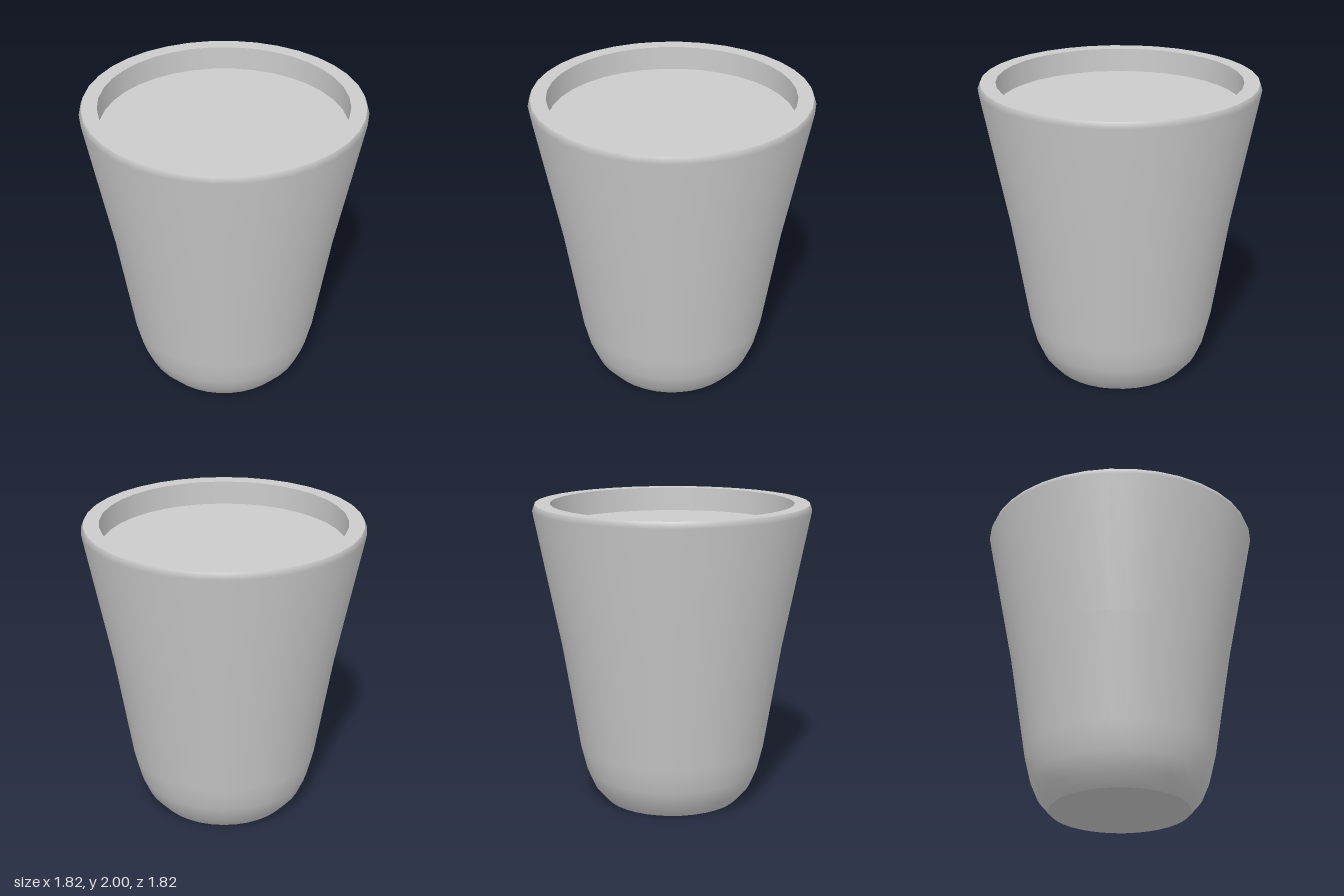
import * as THREE from 'three';

const SIDES = 36;

export function createModel() {
  const group = new THREE.Group();
  group.name = 'plantPot';
  const material = new THREE.MeshStandardMaterial({ color: 0xcccccc });

  // Each lathe is smooth in itself; separate lathes meet in a sharp edge
  const turn = (name, profile) => {
    const points = profile.map(([r, y]) => new THREE.Vector2(r, y));
    const mesh = new THREE.Mesh(new THREE.LatheGeometry(points, SIDES), material);
    mesh.name = name;
    group.add(mesh);
  };

  // Flat underside
  turn('base', [[0, 0], [0.455, 0]]);
  // Rounded foot, flaring wall and small bevel under the rim
  turn('outerWall', [
    [0.455, 0], [0.53, 0.085], [0.58, 0.2], [0.622, 0.37],
    [0.735, 1.07], [0.91, 1.96], [0.895, 2],
  ]);
  // Flat top ring
  turn('rim', [[0.895, 2], [0.795, 2]]);
  // Short inner wall down to the filling
  turn('innerWall', [[0.795, 2], [0.795, 1.84]]);
  // Level surface inside the pot
  turn('soil', [[0.795, 1.84], [0, 1.84]]);

  return group;
}
